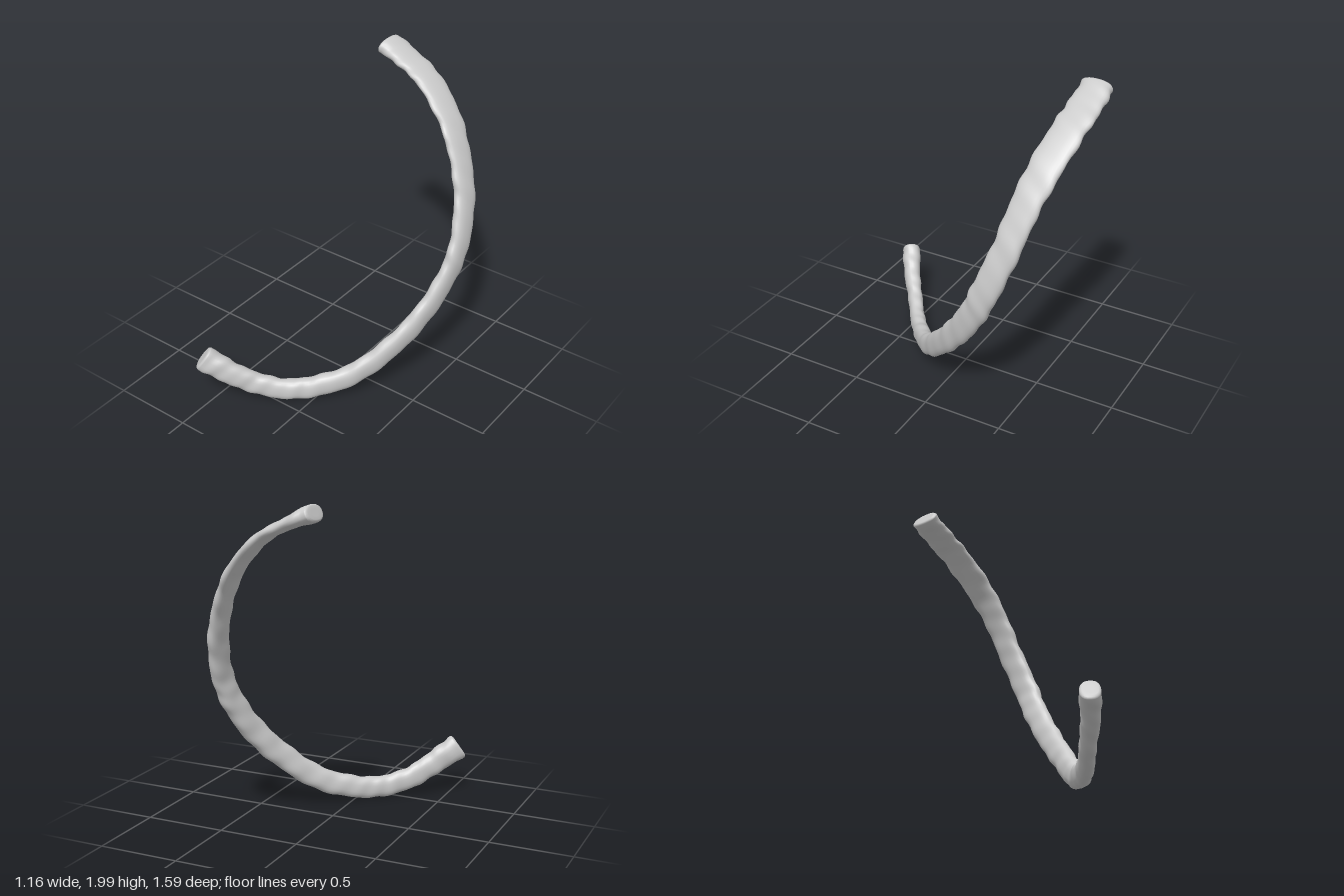
import * as THREE from 'three';

// Stations from the broad upper end to the lower front end:
// centre x,y,z | thin-axis normal x,y,z | half thickness, half width
const stations = [
  [-0.215, 1.95, -0.70, 0.35, 0.94, 0.05, 0.05, 0.095],
  [-0.06, 1.885, -0.695, 0.40, 0.92, 0, 0.034, 0.1],
  [0.1, 1.80, -0.675, 0.55, 0.83, 0, 0.032, 0.1],
  [0.28, 1.63, -0.625, 0.75, 0.66, 0, 0.032, 0.097],
  [0.4, 1.43, -0.57, 0.92, 0.40, 0.05, 0.034, 0.088],
  [0.48, 1.2, -0.51, 0.97, 0.2, 0.08, 0.04, 0.084],
  [0.518, 0.95, -0.415, 1, 0, 0.1, 0.042, 0.083],
  [0.497, 0.75, -0.32, 1, -0.1, 0.15, 0.044, 0.08],
  [0.43, 0.53, -0.17, 0.95, -0.15, 0.3, 0.045, 0.078],
  [0.32, 0.335, 0.0, 0.85, -0.15, 0.45, 0.047, 0.074],
  [0.17, 0.17, 0.17, 0.75, -0.1, 0.6, 0.049, 0.072],
  [0, 0.092, 0.325, 0.63, 0, 0.75, 0.049, 0.07],
  [-0.15, 0.078, 0.45, 0.6, 0.05, 0.78, 0.046, 0.068],
  [-0.3, 0.128, 0.56, 0.58, 0.08, 0.8, 0.046, 0.07],
  [-0.42, 0.215, 0.655, 0.55, 0.1, 0.83, 0.052, 0.074],
  [-0.54, 0.312, 0.732, 0.5, 0.1, 0.86, 0.06, 0.082],
];
const track = (x, y, z) => new THREE.CatmullRomCurve3(
  stations.map((s) => new THREE.Vector3(s[x], s[y], z === null ? 0 : s[z])), false, 'catmullrom', 0.5);

function sweepGeometry() {
  const centre = track(0, 1, 2), normal = track(3, 4, 5), size = track(6, 7, null);
  const sides = 24, steps = 150, positions = [], indices = [];

  // One ring: a slightly squared oval with gentle surface waviness
  const ring = (t, scale, push) => {
    const T = centre.getTangent(t);
    const N = normal.getPoint(t);
    N.addScaledVector(T, -N.dot(T)).normalize();
    const B = new THREE.Vector3().crossVectors(T, N);
    const C = centre.getPoint(t).addScaledVector(T, push);
    const { x: thick, y: wide } = size.getPoint(t);
    const squared = (v) => Math.sign(v) * Math.abs(v) ** 0.85;
    for (let j = 0; j < sides; j++) {
      const a = (j / sides) * Math.PI * 2;
      const wave = 1 + 0.035 * Math.sin(t * 105 + 2 * Math.sin(a)) + 0.03 * Math.sin(t * 163 + 2 * a);
      const p = C.clone()
        .addScaledVector(N, squared(Math.cos(a)) * thick * scale * wave)
        .addScaledVector(B, squared(Math.sin(a)) * wide * scale * wave);
      positions.push(p.x, p.y, p.z);
    }
  };

  // Blunt rounded ends close the sweep
  const cap = [[0, 0.014], [0.4, 0.014], [0.75, 0.014], [0.9, 0.011], [0.97, 0.005]];
  cap.forEach(([s, d]) => ring(0, s, -d));
  for (let i = 0; i <= steps; i++) ring(i / steps, 1, 0);
  [...cap].reverse().forEach(([s, d]) => ring(1, s, d));

  const rings = positions.length / 3 / sides;
  for (let i = 0; i < rings - 1; i++) {
    for (let j = 0; j < sides; j++) {
      const k = (j + 1) % sides;
      const a = i * sides + j, b = i * sides + k, c = a + sides, d = b + sides;
      if (i > 0) indices.push(a, b, c);
      if (i === 0) indices.push(b, d, c);
      else if (i < rings - 2) indices.push(b, d, c);
    }
  }
  const geometry = new THREE.BufferGeometry();
  geometry.setAttribute('position', new THREE.Float32BufferAttribute(positions, 3));
  geometry.setIndex(indices);
  geometry.computeVertexNormals();
  return geometry;
}

export function createModel() {
  const group = new THREE.Group();
  group.name = 'rib';
  const shaft = new THREE.Mesh(sweepGeometry(), new THREE.MeshStandardMaterial({ color: 0xcccccc }));
  shaft.name = 'ribShaft';
  group.add(shaft);
  return group;
}
